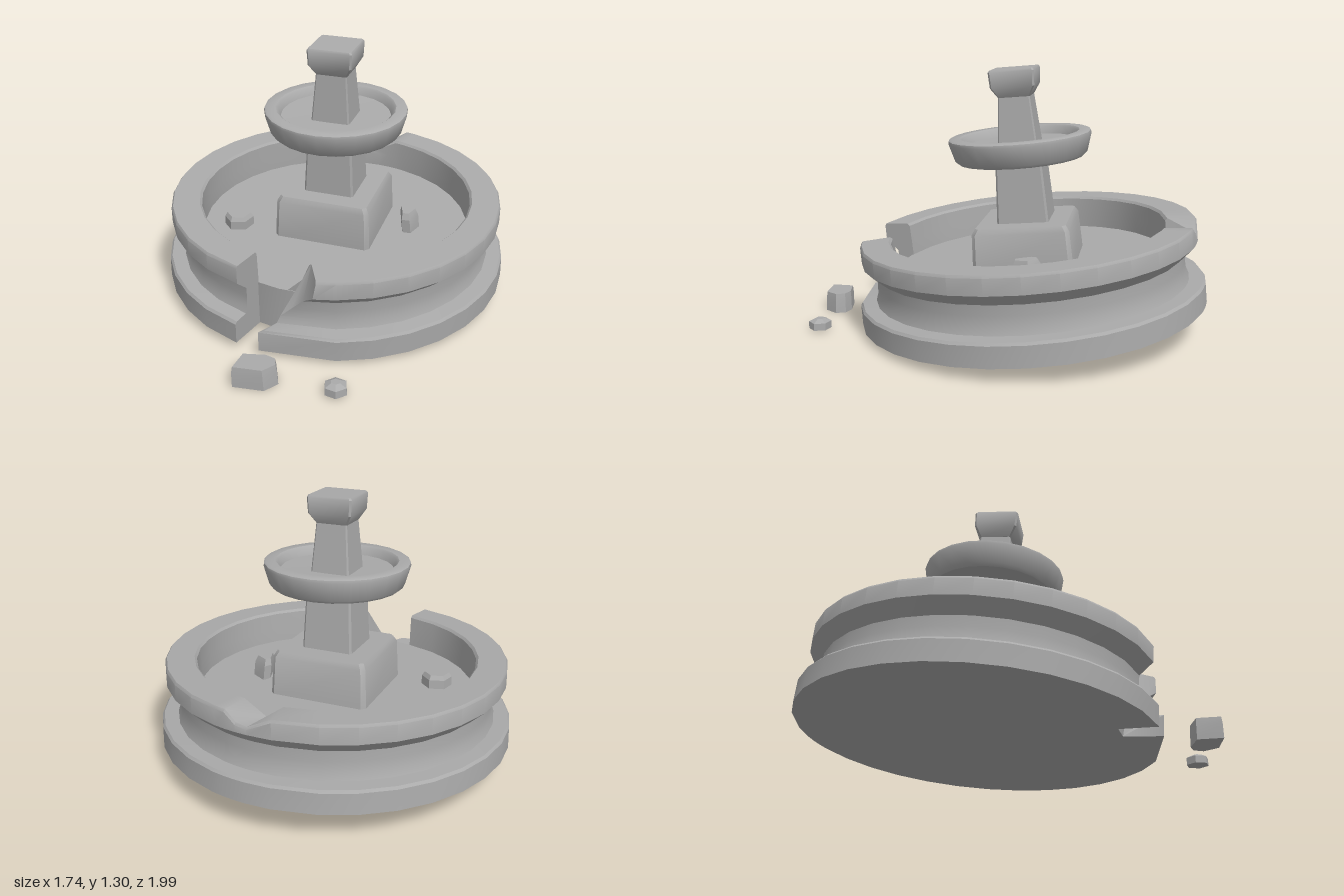
import * as THREE from 'three';
import { toCreasedNormals } from 'three/addons/utils/BufferGeometryUtils.js';

const stone = new THREE.MeshStandardMaterial({ color: 0xaaaaaa });
stone.name = 'grey stone';
const rad = THREE.MathUtils.degToRad;

function mesh(name, geometry, crease = 35) {
  const m = new THREE.Mesh(toCreasedNormals(geometry, rad(crease)), stone);
  m.name = name;
  return m;
}

function build(points, index) {
  const g = new THREE.BufferGeometry();
  g.setAttribute('position', new THREE.Float32BufferAttribute(points.flat(), 3));
  g.setIndex(index);
  return g;
}

// Solid through stacked rings of equal point count, bottom to top
function loft(rings) {
  const n = rings[0].length, last = (rings.length - 1) * n, index = [];
  for (let k = 0; k < rings.length - 1; k++) {
    for (let j = 0; j < n; j++) {
      const a = k * n + j, b = k * n + (j + 1) % n;
      index.push(a, b, b + n, a, b + n, a + n);
    }
  }
  for (let j = 1; j < n - 1; j++) {
    index.push(0, j + 1, j, last, last + j, last + j + 1);
  }
  return build(rings.flat(), index);
}

// Square ring with clipped corners, h = half width
function square(h, y, clip = 0.08) {
  const c = h * (1 - clip);
  return [[-c, h], [c, h], [h, c], [h, -c], [c, -h], [-c, -h], [-h, -c], [-h, c]]
    .map(([x, z]) => [x, y, z]);
}

const tower = (name, levels) => mesh(name, loft(levels.map(([h, y]) => square(h, y))));

// Chipped rubble: footprint [x, z], narrowing towards the top
function rubble(name, foot, height, top = 0.85, shift = 0) {
  const cx = foot.reduce((s, p) => s + p[0], 0) / foot.length;
  const cz = foot.reduce((s, p) => s + p[1], 0) / foot.length;
  const ring = (y, s, d) => foot.map(([x, z]) => [cx + (x - cx) * s + d, y, cz + (z - cz) * s]);
  return mesh(name, loft([ring(0, 1, 0), ring(height * 0.7, 0.98, shift * 0.7), ring(height, top, shift)]), 20);
}

const polygon = (n, r, x, z, turn = 0) => Array.from({ length: n }, (_, i) => {
  const a = turn + i / n * Math.PI * 2;
  return [x + r * Math.sin(a), z + r * Math.cos(a)];
});

// Basin wall section: [radius, height, angle of the ragged broken end]
const section = [
  [0.68, 0, -24], [0.868, 0, -24], [0.866, 0.1, -24], [0.856, 0.112, -22],
  [0.787, 0.115, -20], [0.775, 0.15, -19], [0.772, 0.2, -15], [0.774, 0.25, -11],
  [0.838, 0.31, -7], [0.838, 0.388, -6], [0.83, 0.4, -6], [0.697, 0.4, -9],
  [0.686, 0.388, -10], [0.682, 0.3, -13], [0.68, 0.23, -19],
];

function basinWall() {
  const columns = [-24];
  for (let a = 0; a < 150; a += 11.25) columns.push(a);
  columns.push(150, 154, 158, 166);
  for (let a = 180; a < 325; a += 11.25) columns.push(a);
  columns.push(328);
  const chip = { 154: 0.045, 158: 0.055 };
  const n = section.length, points = [], index = [];
  columns.forEach((angle, k) => {
    for (const [r, y, start] of section) {
      // the chip cuts across the rim at a slant
      const drop = y > 0.35 ? chip[angle] || 0 : 0;
      const inner = r < 0.75;
      const a = rad(k === 0 ? start : angle + (drop && inner ? 5 : 0));
      points.push([r * Math.sin(a), y - drop * (inner ? 1.3 : 1), r * Math.cos(a)]);
    }
    if (k === 0) return;
    for (let i = 0; i < n; i++) {
      const p = (k - 1) * n, q = k * n, i2 = (i + 1) % n;
      index.push(p + i, q + i, q + i2, p + i, q + i2, p + i2);
    }
  });
  // broken end faces
  const end = (columns.length - 1) * n;
  const outline = section.map(([r, y]) => new THREE.Vector2(r, y));
  for (const [a, b, c] of THREE.ShapeUtils.triangulateShape(outline, [])) {
    index.push(a, b, c, end + a, end + c, end + b);
  }
  return build(points, index);
}

export function createModel() {
  const model = new THREE.Group();
  model.name = 'ruinedFountain';

  // Sunken, leaning fountain
  const fountain = new THREE.Group();
  fountain.name = 'fountain';
  fountain.position.set(0, 0.095, -0.13);
  fountain.rotation.x = rad(4.94);
  model.add(fountain);

  const floor = new THREE.CylinderGeometry(0.686, 0.686, 0.23, 32);
  floor.translate(0, 0.115, 0);
  fountain.add(mesh('basinFloor', floor), mesh('basinWall', basinWall()));

  // Square pillar, turned on its axis
  const pillar = new THREE.Group();
  pillar.name = 'pillar';
  pillar.rotation.y = rad(-18);
  pillar.add(
    tower('pedestal', [[0.247, 0.22], [0.238, 0.42], [0.222, 0.448]]),
    tower('lowerStem', [[0.128, 0.44], [0.112, 0.77]]),
    tower('upperStem', [[0.102, 0.76], [0.076, 1.08]]),
    tower('capital', [[0.078, 1.06], [0.108, 1.11], [0.112, 1.185], [0.106, 1.195]]),
  );
  fountain.add(pillar);

  // Upper bowl
  const bowl = [[0, 0.75], [0.312, 0.75], [0.328, 0.765], [0.354, 0.855], [0.352, 0.868],
    [0.342, 0.874], [0.297, 0.874], [0.286, 0.866], [0.272, 0.83], [0, 0.822]]
    .map(([r, y]) => new THREE.Vector2(r, y));
  fountain.add(mesh('upperBowl', new THREE.LatheGeometry(bowl, 24)));

  // Rubble in the basin
  const hexStone = rubble('basinRubble', polygon(6, 0.075, -0.5, 0.04, 0.5), 0.07, 0.8);
  const leaningStone = rubble('leaningRubble',
    [[0.34, 0.13], [0.38, 0.14], [0.43, 0.07], [0.37, 0], [0.34, 0.03]], 0.11, 0.75, -0.01);
  for (const s of [hexStone, leaningStone]) {
    s.position.y = 0.225;
    fountain.add(s);
  }

  // Rubble on the ground
  model.add(
    rubble('largeRubble',
      [[-0.45, 0.9], [-0.31, 0.93], [-0.25, 0.88], [-0.255, 0.83], [-0.3, 0.8], [-0.41, 0.79]], 0.1, 0.93, -0.005),
    rubble('smallRubble', polygon(6, 0.055, 0, 0.945, 0), 0.05, 0.4),
  );
  model.getObjectByName('smallRubble').position.y = 0.01;
  return model;
}
